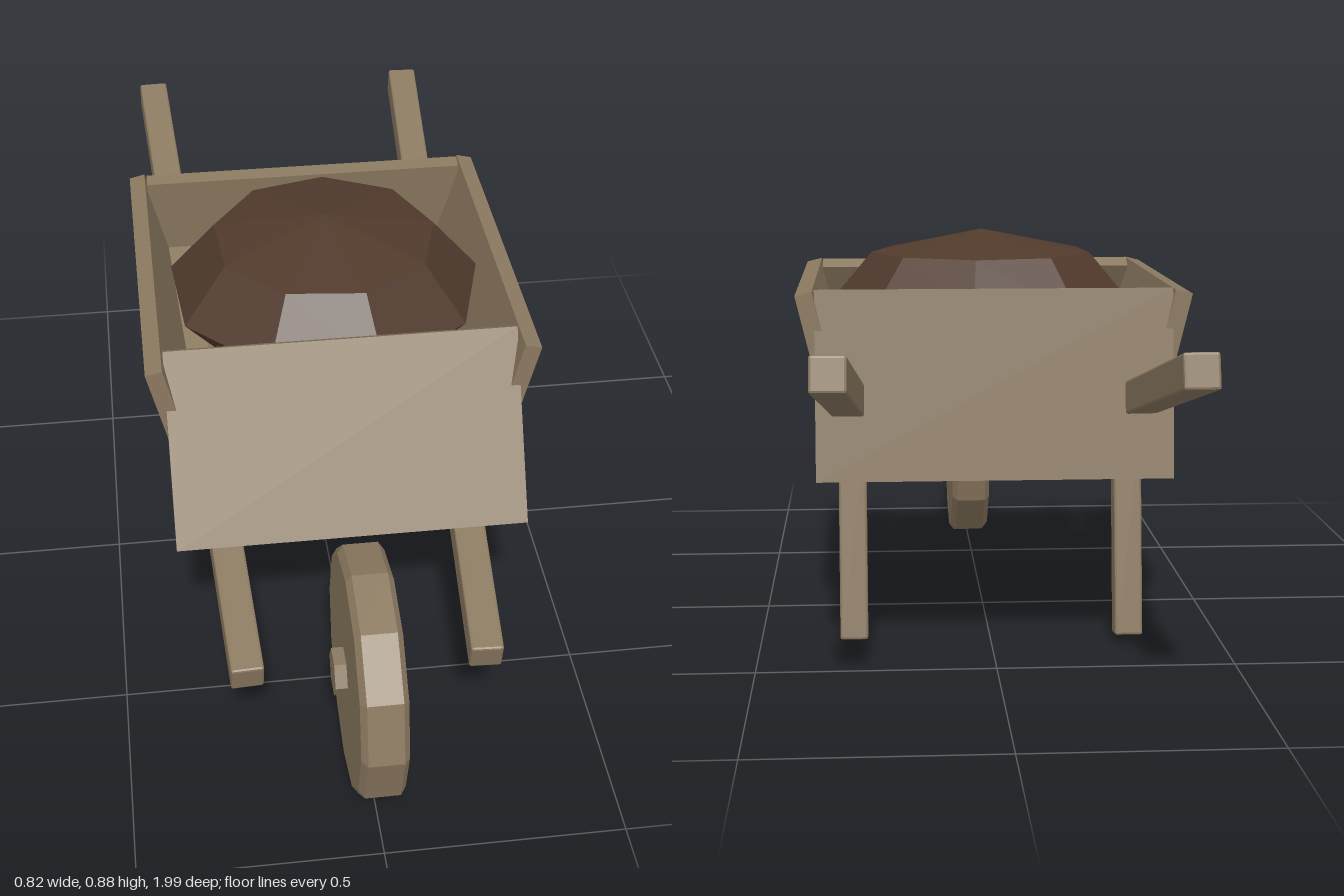
import * as THREE from 'three';
import { RoundedBoxGeometry } from 'three/addons/geometries/RoundedBoxGeometry.js';

const flat = (color, name) => {
  const m = new THREE.MeshStandardMaterial({ color, flatShading: true });
  m.name = name;
  return m;
};

export function createModel() {
  const wood = flat(0x8b7960, 'wood');
  const soilBrown = flat(0x503a2c, 'soilBrown');
  const model = new THREE.Group();
  model.name = 'wheelbarrow';

  const add = (name, geometry, material, x, y, z) => {
    const mesh = new THREE.Mesh(geometry, material);
    mesh.name = name;
    mesh.position.set(x, y, z);
    model.add(mesh);
    return mesh;
  };

  // Bevelled bar running between two points
  const bar = (name, a, b, w, h) => {
    const from = new THREE.Vector3(...a), to = new THREE.Vector3(...b);
    const mid = from.clone().add(to).multiplyScalar(0.5);
    const geometry = new RoundedBoxGeometry(w, h, from.distanceTo(to), 1, 0.005);
    add(name, geometry, wood, mid.x, mid.y, mid.z).lookAt(to);
  };

  // Tray: floor, slanted front board, back board
  add('trayFloor', new THREE.BoxGeometry(0.62, 0.03, 0.79), wood, 0, 0.41, -0.045);
  add('frontBoard', new THREE.BoxGeometry(0.74, 0.415, 0.035), wood, 0, 0.598, 0.397).rotation.x = -0.545;
  add('backBoard', new THREE.BoxGeometry(0.74, 0.395, 0.036), wood, 0, 0.586, -0.42).rotation.x = 0.14;

  // Mirrored parts: flared side boards, handles, legs
  for (const [side, s] of [['left', 1], ['right', -1]]) {
    add(side + 'SideBoard', new THREE.BoxGeometry(0.036, 0.394, 0.79), wood, s * 0.346, 0.585, -0.027).rotation.z = -s * 0.235;
    bar(side + 'Handle', [s * 0.247, 0.265, 0.74], [s * 0.33, 0.697, -0.986], 0.068, 0.068);
    bar(side + 'Leg', [s * 0.297, 0.018, -0.322], [s * 0.297, 0.435, -0.257], 0.06, 0.056);
  }

  // Wheel with bevelled rim, and its hexagonal axle
  const rim = [[0, -0.048], [0.245, -0.048], [0.262, -0.036], [0.262, 0.036], [0.245, 0.048], [0, 0.048]]
    .map(([r, h]) => new THREE.Vector2(r, h));
  add('wheel', new THREE.LatheGeometry(rim, 12), wood, 0, 0.263, 0.738).rotation.z = Math.PI / 2;
  add('axle', new THREE.CylinderGeometry(0.05, 0.05, 0.146, 6), wood, 0, 0.263, 0.738).rotation.z = Math.PI / 2;

  // Faceted mound of soil
  const soil = add('soilMound', new THREE.SphereGeometry(0.35, 9, 4), soilBrown, 0.005, 0.71, -0.03);
  soil.scale.y = 0.486;
  soil.rotation.y = -0.28;

  return model;
}
